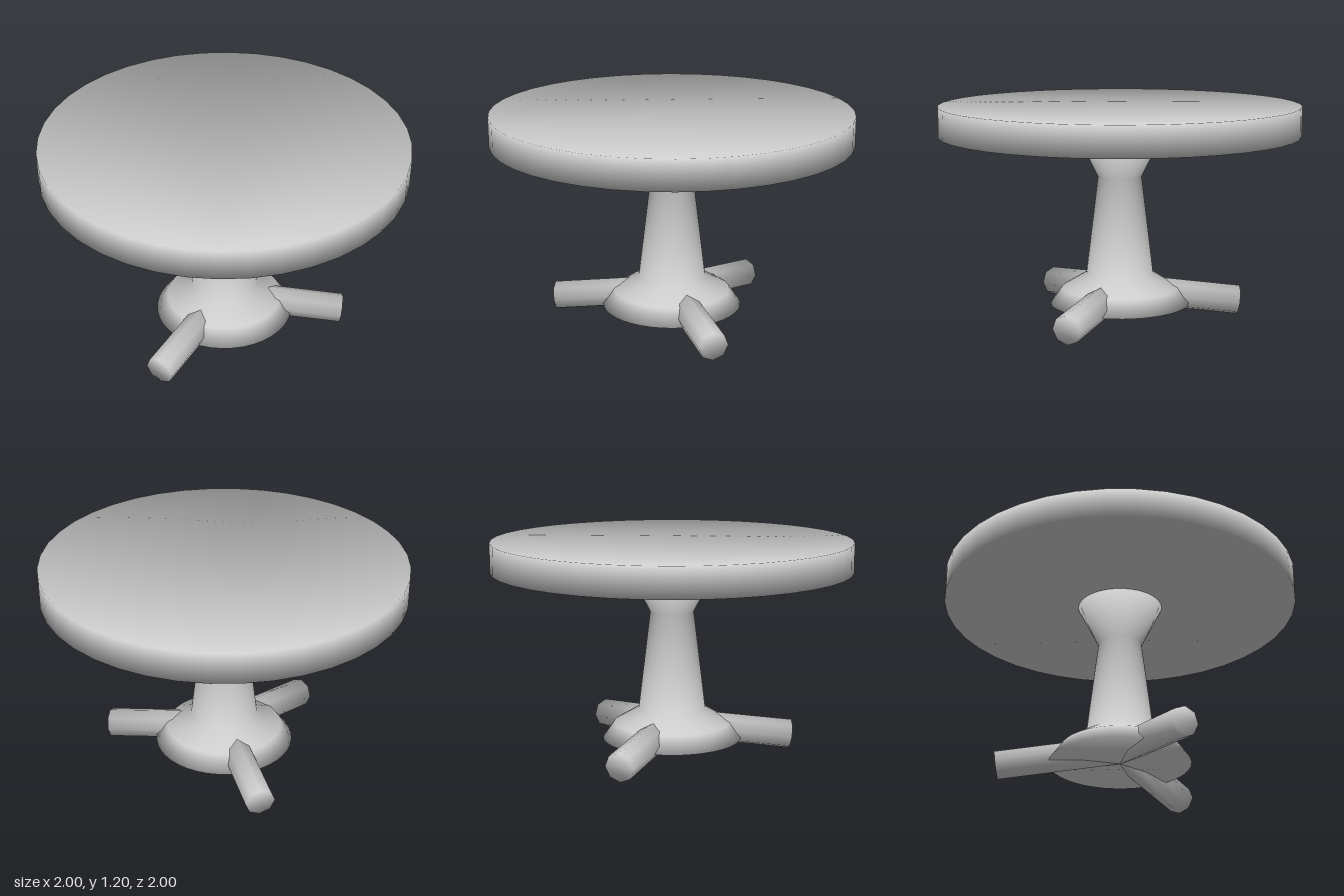
import * as THREE from 'three';

// Solid of revolution from a bottom-to-top [radius, y] profile, closed by flat caps.
// Normals are shared between the wall and the caps, so every edge shades softly.
function turnedSolid(profile, sides) {
  const rows = profile.length;
  const first = profile[0], last = profile[rows - 1];
  const path = [[0, first[1]], ...profile, [0, last[1]]];
  const edgeNormals = path.slice(1).map((p, i) =>
    new THREE.Vector2(p[1] - path[i][1], path[i][0] - p[0]).normalize());
  const positions = [], normals = [], index = [];

  profile.forEach(([r, y], row) => {
    const n = edgeNormals[row].clone().add(edgeNormals[row + 1]).normalize();
    for (let i = 0; i < sides; i++) {
      const a = (i / sides) * Math.PI * 2;
      positions.push(r * Math.sin(a), y, r * Math.cos(a));
      normals.push(n.x * Math.sin(a), n.y, n.x * Math.cos(a));
      if (row === rows - 1) continue;
      const j = (i + 1) % sides;
      const p = row * sides + i, q = row * sides + j;
      index.push(p, q, q + sides, p, q + sides, p + sides);
    }
  });

  // Cap fans
  const top = (rows - 1) * sides;
  for (let i = 1; i < sides - 1; i++) {
    index.push(0, i + 1, i, top, top + i, top + i + 1);
  }

  const geometry = new THREE.BufferGeometry();
  geometry.setAttribute('position', new THREE.Float32BufferAttribute(positions, 3));
  geometry.setAttribute('normal', new THREE.Float32BufferAttribute(normals, 3));
  geometry.setIndex(index);
  return geometry;
}

export function createModel() {
  const group = new THREE.Group();
  group.name = 'pedestalTable';
  const grey = new THREE.MeshStandardMaterial({ color: 0xcccccc });
  grey.name = 'light grey';

  const add = (name, geometry) => {
    const mesh = new THREE.Mesh(geometry, grey);
    mesh.name = name;
    group.add(mesh);
    return mesh;
  };

  // Round top
  add('tableTop', turnedSolid([[1, 1.04], [1, 1.205]], 40));

  // Waisted column with a flared foot
  add('column', turnedSolid(
    [[0.39, 0.085], [0.325, 0.175], [0.188, 0.258], [0.122, 0.805], [0.238, 1.04]], 40));

  // Three octagonal feet sloping down from the centre
  const start = new THREE.Vector3(0, 0.168, 0);
  const end = new THREE.Vector3(0.675, 0.083, 0);
  const direction = end.clone().sub(start);
  const legGeometry = turnedSolid([[0.083, 0], [0.083, direction.length()]], 8);
  legGeometry.applyQuaternion(new THREE.Quaternion().setFromUnitVectors(
    new THREE.Vector3(0, 1, 0), direction.clone().normalize()));
  legGeometry.translate(start.x, start.y, start.z);
  for (let i = 0; i < 3; i++) {
    add('foot' + (i + 1), legGeometry).rotation.y = (i * Math.PI * 2) / 3;
  }

  return group;
}
